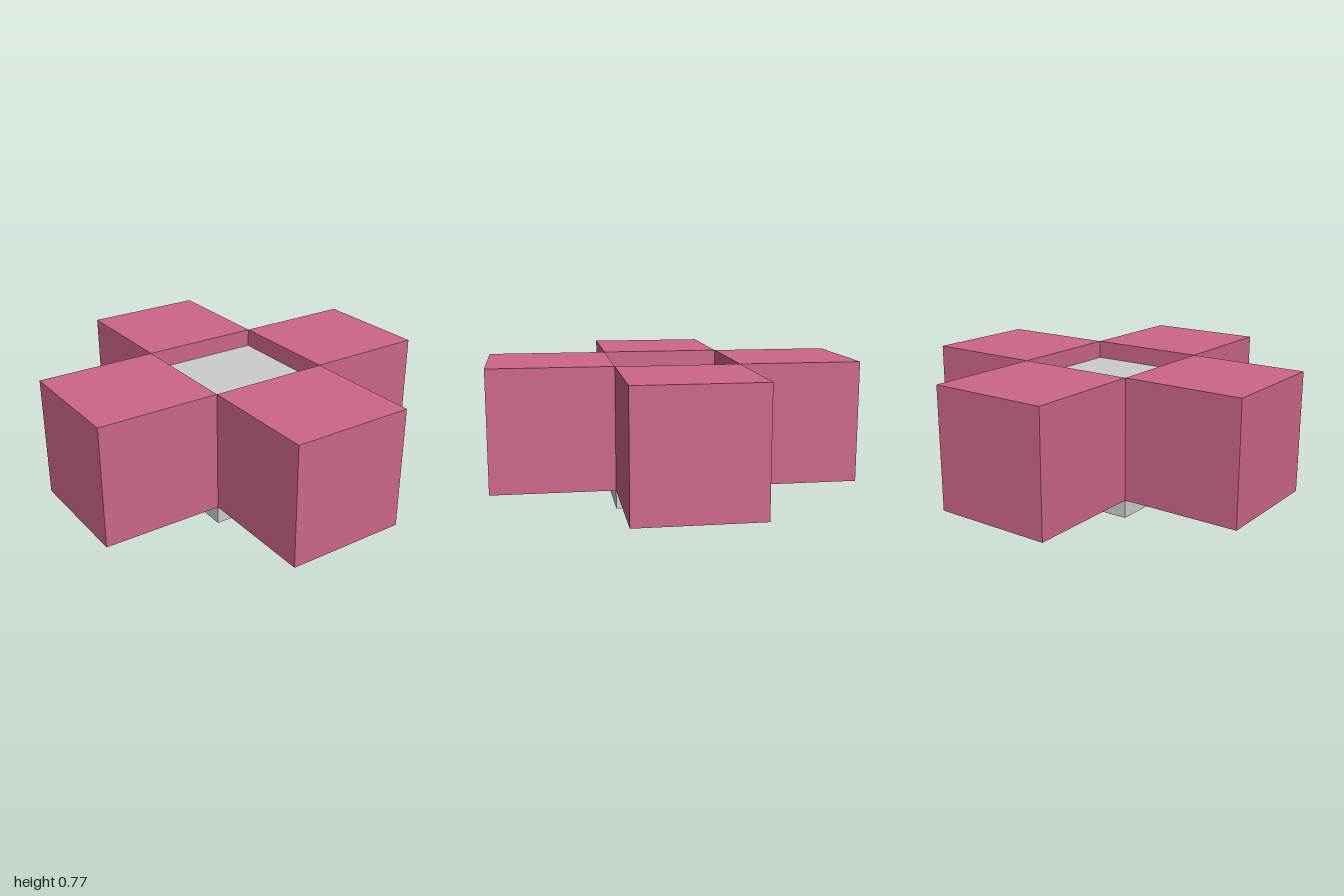
import * as THREE from 'three';

const SIZE = 2 / 3; // edge of every cube
const DROP = 0.1; // how far the core sits below the arms

export function createModel() {
  const pink = new THREE.MeshStandardMaterial({ color: 0xcc6688 });
  pink.name = 'pink';
  const grey = new THREE.MeshStandardMaterial({ color: 0xcccccc });
  grey.name = 'light grey';

  const model = new THREE.Group();
  model.name = 'cubeCross';
  const cube = new THREE.BoxGeometry(SIZE, SIZE, SIZE);

  function addCube(name, material, x, y, z) {
    const mesh = new THREE.Mesh(cube, material);
    mesh.name = name;
    mesh.position.set(x, y, z);
    model.add(mesh);
  }

  // Lowered core cube, leaving a shallow recess on top
  addCube('core', grey, 0, SIZE / 2, 0);

  // Four raised arm cubes around the core
  const arms = [['leftArm', 1, 0], ['rightArm', -1, 0], ['frontArm', 0, 1], ['backArm', 0, -1]];
  for (const [name, x, z] of arms) {
    addCube(name, pink, x * SIZE, SIZE / 2 + DROP, z * SIZE);
  }

  return model;
}
